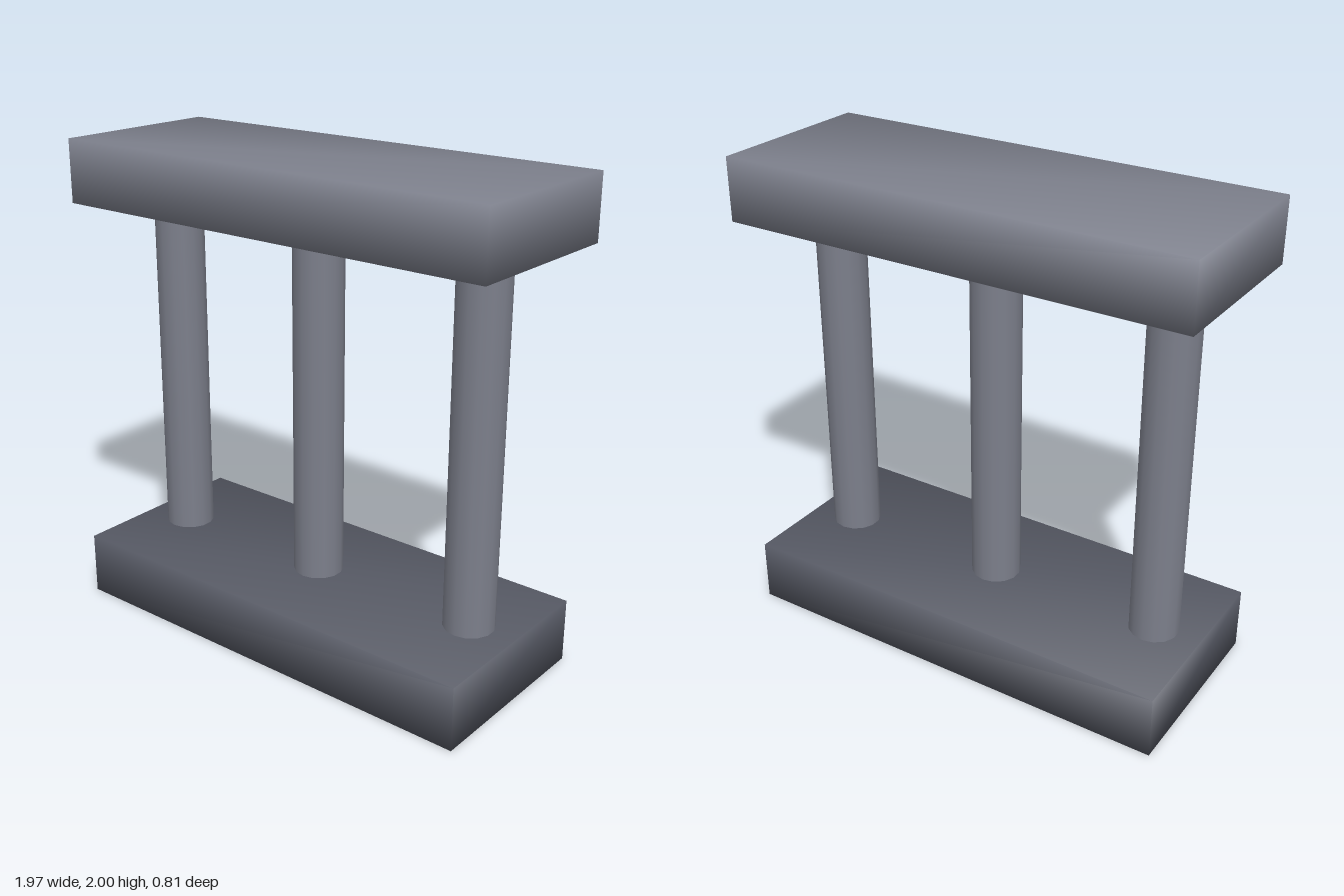
import * as THREE from 'three';
import { mergeVertices } from 'three/addons/utils/BufferGeometryUtils.js';

const material = (name, color) => {
  const m = new THREE.MeshStandardMaterial({ color });
  m.name = name;
  return m;
};

// Box whose eight corners share smooth normals
function smoothBox(width, height, depth) {
  const box = new THREE.BoxGeometry(width, height, depth);
  box.deleteAttribute('normal');
  box.deleteAttribute('uv');
  const merged = mergeVertices(box);
  merged.computeVertexNormals();
  return merged;
}

export function createModel() {
  const group = new THREE.Group();
  group.name = 'colonnade';
  const stone = material('grey stone', 0x7c7f8b);
  const darkStone = material('dark grey stone', 0x565964);
  const sandstone = material('pale sandstone', 0xcfc3aa);

  const add = (name, geometry, mat, x, y) => {
    const mesh = new THREE.Mesh(geometry, mat);
    mesh.name = name;
    mesh.position.set(x, y, 0);
    group.add(mesh);
  };

  // Plinth and top beam
  add('base', smoothBox(1.9, 0.265, 0.81), darkStone, 0, 0.1325);
  add('beam', smoothBox(1.966, 0.26, 0.74), stone, 0, 1.87);

  // Three columns, each with a square capital
  const shaft = new THREE.CylinderGeometry(0.103, 0.103, 1.46, 14);
  const capital = smoothBox(0.265, 0.05, 0.265);
  ['right', 'middle', 'left'].forEach((side, i) => {
    const x = (i - 1) * 0.75;
    add(`${side}Column`, shaft, stone, x, 0.98);
    add(`${side}Capital`, capital, sandstone, x, 1.725);
  });

  return group;
}
